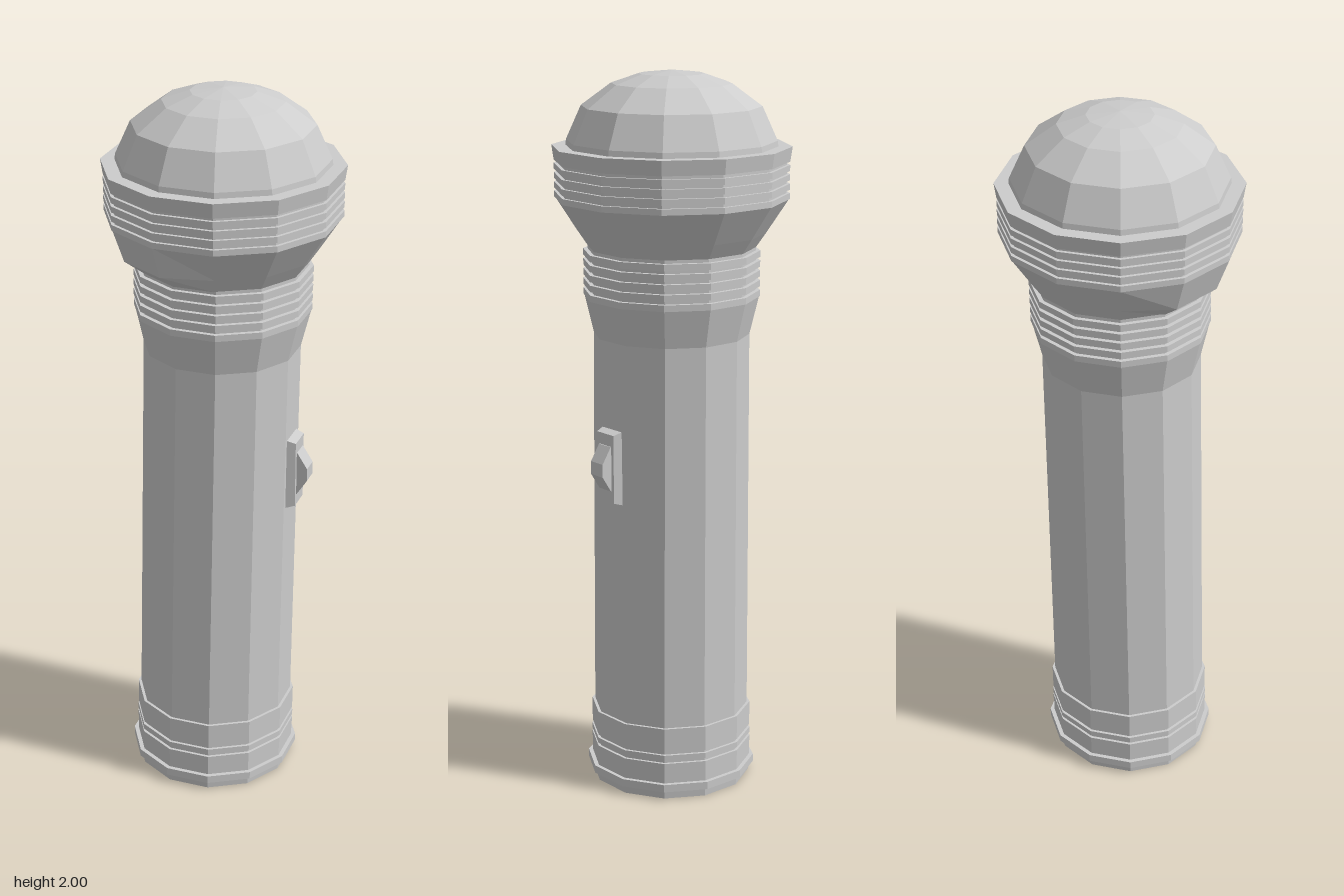
import * as THREE from 'three';

const SIDES = 12;

// The tube leans slightly: its centre drifts toward -x and +z below the neck.
function lean(y) {
  const t = Math.max(0, 1 - y / 1.5);
  return [-0.025 * t, 0.02 * t];
}

// Faceted normals for the low-poly look.
function facet(geometry) {
  const g = geometry.index ? geometry.toNonIndexed() : geometry;
  g.computeVertexNormals();
  return g;
}

// Stack of thin raised ribs, listed as [radius, y] from bottom to top.
function ribs(y0, y1, count, low0, low1, height) {
  const points = [];
  const step = (y1 - y0) / count;
  for (let i = 0; i < count; i++) {
    const y = y0 + i * step;
    const r = low0 + (low1 - low0) * (i / Math.max(1, count - 1));
    points.push([r + height, y], [r + height, y + step * 0.65], [r, y + step * 0.65], [r, y + step]);
  }
  return points;
}

export function createModel() {
  const model = new THREE.Group();
  const grey = new THREE.MeshStandardMaterial({ color: 0xcccccc });
  grey.name = 'light grey';

  function add(name, geometry, parent = model) {
    const mesh = new THREE.Mesh(facet(geometry), grey);
    mesh.name = name;
    parent.add(mesh);
    return mesh;
  }

  // Twelve-sided turned part that follows the lean; adjust can move a vertex.
  function turned(name, profile, adjust) {
    const g = new THREE.LatheGeometry(profile.map(([r, y]) => new THREE.Vector2(r, y)), SIDES);
    const p = g.attributes.position;
    const v = new THREE.Vector3();
    for (let i = 0; i < p.count; i++) {
      v.fromBufferAttribute(p, i);
      if (adjust) adjust(v);
      const [dx, dz] = lean(v.y);
      p.setXYZ(i, v.x + dx, v.y, v.z + dz);
    }
    return add(name, g);
  }

  // End cap with flange and grooves
  turned('endCap', [
    [0, 0], [0.224, 0], [0.226, 0.025], [0.238, 0.025], [0.238, 0.047], [0.226, 0.047],
    [0.226, 0.09], ...ribs(0.09, 0.14, 2, 0.219, 0.219, 0.008),
    [0.226, 0.14], [0.226, 0.21], [0.216, 0.21],
  ]);

  // Handle tube, flaring toward the neck
  turned('handle', [[0.218, 0.2], [0.213, 1.29], [0.238, 1.395]]);

  // Ribbed neck
  turned('neck', [[0.238, 1.395], ...ribs(1.395, 1.53, 5, 0.228, 0.228, 0.012), [0.2, 1.53]]);

  // Flared head, with a dent-like bulge low on the front -x side
  turned('headFlare', [[0.225, 1.525], [0.256, 1.57], [0.315, 1.66]], (v) => {
    const angle = Math.atan2(v.z, -v.x);
    if (Math.abs(v.y - 1.57) < 0.001 && angle > -0.1 && angle < 1.2) {
      v.x *= 1.11;
      v.z *= 1.11;
    }
  });

  // Ribbed head ring and rim
  turned('headRing', [
    [0.315, 1.66], ...ribs(1.66, 1.76, 4, 0.308, 0.308, 0.009),
    [0.317, 1.76], [0.323, 1.8], [0.27, 1.8],
  ]);

  // Domed lens
  const dome = [0.285, 0.283, 0.242, 0.161, 0.087, 0].map((r, i) => [
    r, i === 1 ? 1.815 : 1.8 + 0.2 * Math.sqrt(1 - (r / 0.285) ** 2),
  ]);
  turned('lensDome', dome);

  // Switch, set flat on the handle facet facing +x and a little forward
  const power = new THREE.Group();
  power.name = 'switch';
  power.position.set(0.189, 0.947, 0.0625);
  power.rotation.y = -Math.PI / SIDES;
  model.add(power);

  const plate = new THREE.BoxGeometry(0.04, 0.215, 0.09);
  const p = plate.attributes.position;
  for (let i = 0; i < p.count; i++) {
    if (p.getX(i) > 0) p.setXYZ(i, p.getX(i), p.getY(i) * 0.88, p.getZ(i) * 0.78);
  }
  add('switchPlate', plate, power).position.x = 0.006;

  const side = new THREE.Shape([
    [0.01, -0.065], [0.028, -0.062], [0.056, -0.018],
    [0.056, 0.018], [0.028, 0.062], [0.01, 0.065],
  ].map(([x, y]) => new THREE.Vector2(x, y)));
  const rocker = new THREE.ExtrudeGeometry(side, { depth: 0.05, bevelEnabled: false });
  rocker.translate(0, 0, -0.025);
  add('switchButton', rocker, power);

  return model;
}
